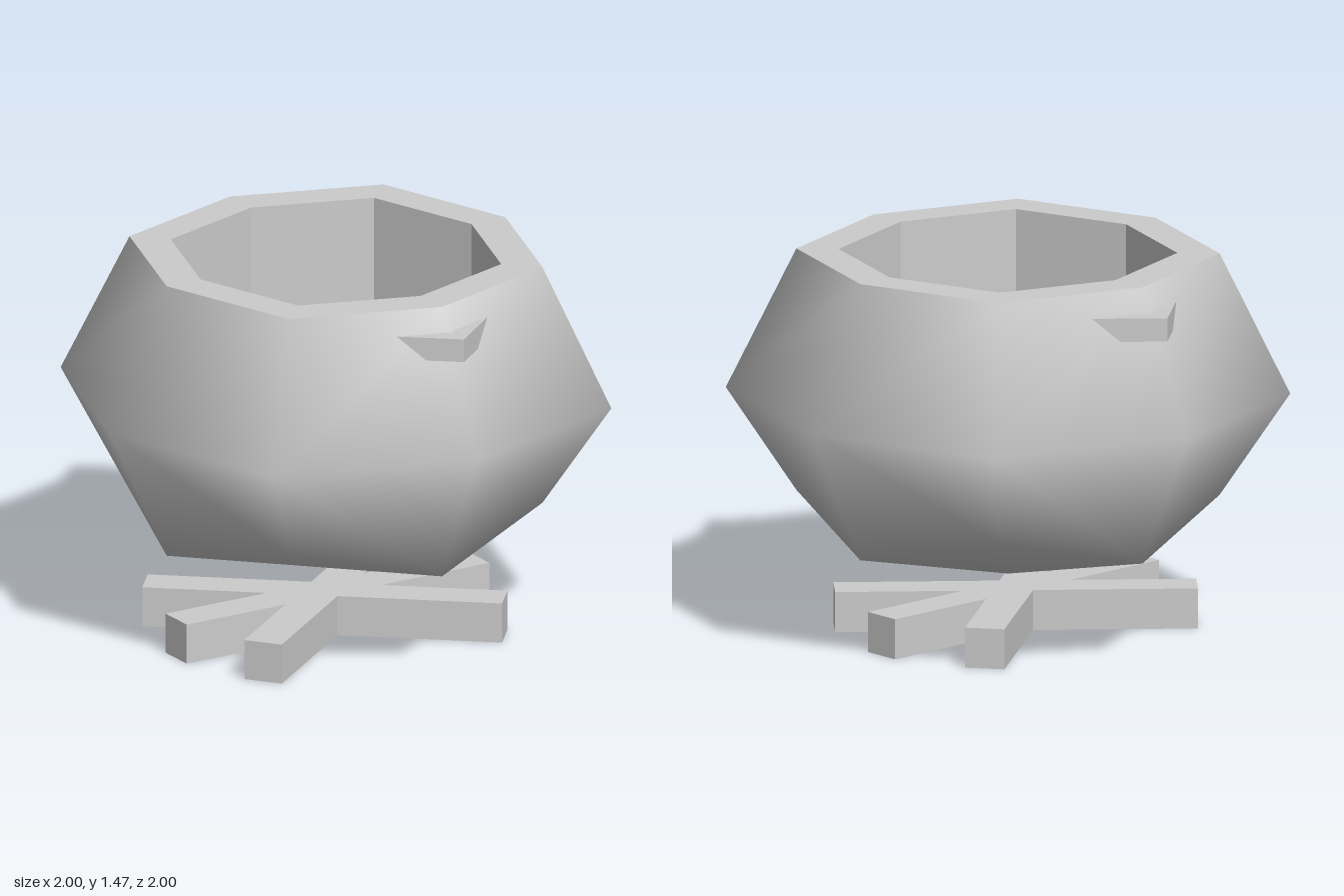
import * as THREE from 'three';
import { mergeVertices } from 'three/addons/utils/BufferGeometryUtils.js';

const RIM_Y = 1.47, FLOOR_Y = 0.5;

function fromTriangles(tris) {
  const g = new THREE.BufferGeometry();
  g.setAttribute('position', new THREE.Float32BufferAttribute(tris.flat(2), 3));
  return g;
}

// eight-sided outline, radius r on the axes and 0.75 r each way on the diagonals
function octagon(r) {
  return Array.from({ length: 8 }, (_, i) => {
    const a = (i * Math.PI) / 4;
    const d = i % 2 ? r * 0.75 * Math.SQRT2 : r;
    return new THREE.Vector2(d * Math.cos(a), d * Math.sin(a));
  });
}

// smooth pot body: one quarter repeated around the axis
function bodyGeometry() {
  const C = [0, 0.93, 1], D = [0, 0.22, 0];
  const EL = [-0.75, 0.93, 0.75], ER = [0.75, 0.93, 0.75];
  const T = [0, RIM_Y, 0.75], TL = [-0.5625, RIM_Y, 0.5625], TR = [0.5625, RIM_Y, 0.5625];
  const B = [0, 0.4, 0.75], BX = [0.75, 0.4, 0];
  const KL = [-0.5625, 0.535, 0.5625], KR = [0.5625, 0.535, 0.5625];
  const quarter = [
    [C, ER, TR], [C, TR, T], [EL, C, T], [EL, T, TL],
    [EL, KL, B], [EL, B, C], [C, B, KR], [C, KR, ER],
    [D, BX, B], [BX, KR, B],
  ];
  const tris = [];
  let turn = ([x, y, z]) => [x, y, z];
  for (let k = 0; k < 4; k++) {
    const prev = turn;
    tris.push(...quarter.map((t) => t.map(prev)));
    turn = (p) => { const [x, y, z] = prev(p); return [z, y, -x]; };
  }
  const g = mergeVertices(fromTriangles(tris));
  g.computeVertexNormals();
  return g;
}

// vertical inner walls facing the axis
function cavityGeometry() {
  const pts = octagon(0.6), tris = [];
  pts.forEach((p, i) => {
    const q = pts[(i + 1) % 8];
    const a = [p.x, FLOOR_Y, p.y], b = [q.x, FLOOR_Y, q.y];
    const c = [q.x, RIM_Y, q.y], d = [p.x, RIM_Y, p.y];
    tris.push([a, b, c], [a, c, d]);
  });
  const g = fromTriangles(tris);
  g.computeVertexNormals();
  return g;
}

export function createModel() {
  const model = new THREE.Group();
  const material = new THREE.MeshStandardMaterial({ color: 0xcccccc });
  const twoSided = new THREE.MeshStandardMaterial({ color: 0xcccccc, side: THREE.DoubleSide });
  const add = (name, geometry, mat = material) => {
    const mesh = new THREE.Mesh(geometry, mat);
    mesh.name = name;
    model.add(mesh);
    return mesh;
  };

  // pot with a flat rim, straight cavity and flat floor
  add('potBody', bodyGeometry());
  const ring = new THREE.Shape(octagon(0.75));
  ring.holes.push(new THREE.Path(octagon(0.6)));
  add('potRim', new THREE.ShapeGeometry(ring).rotateX(-Math.PI / 2).translate(0, RIM_Y, 0));
  add('potInnerWall', cavityGeometry(), twoSided);
  add('potFloor', new THREE.ShapeGeometry(new THREE.Shape(octagon(0.6)))
    .rotateX(-Math.PI / 2).translate(0, FLOOR_Y, 0));

  // V-shaped handles whose ends sink into the pot wall
  for (const side of [1, -1]) {
    const v = new THREE.Shape([
      [0.01, side > 0 ? 0.89 : 0.9], [-0.26, 0.67], [-0.2, 0.63], [0.01, 0.802], [0.22, 0.63], [0.28, 0.67],
    ].map(([x, z]) => new THREE.Vector2(x * side, z)));
    const g = new THREE.ExtrudeGeometry(v, { depth: 0.09, bevelEnabled: false });
    g.rotateX(Math.PI / 2).translate(0, 1.38, 0);
    const handle = add(side > 0 ? 'frontHandle' : 'backHandle', g);
    if (side < 0) handle.rotation.y = Math.PI;
  }

  // three crossed logs, each given by its two end centres (x, z)
  const logs = [
    [-0.595, 0.435, 0.455, -0.37],
    [0.45, 0.475, -0.595, -0.4],
    [0.61, 0.035, -0.73, 0.035],
  ];
  logs.forEach(([x1, z1, x2, z2], i) => {
    const log = add(`log${i + 1}`, new THREE.BoxGeometry(Math.hypot(x2 - x1, z2 - z1), 0.155, 0.15));
    log.position.set((x1 + x2) / 2, 0.0775, (z1 + z2) / 2);
    log.rotation.y = -Math.atan2(z2 - z1, x2 - x1);
  });
  return model;
}
